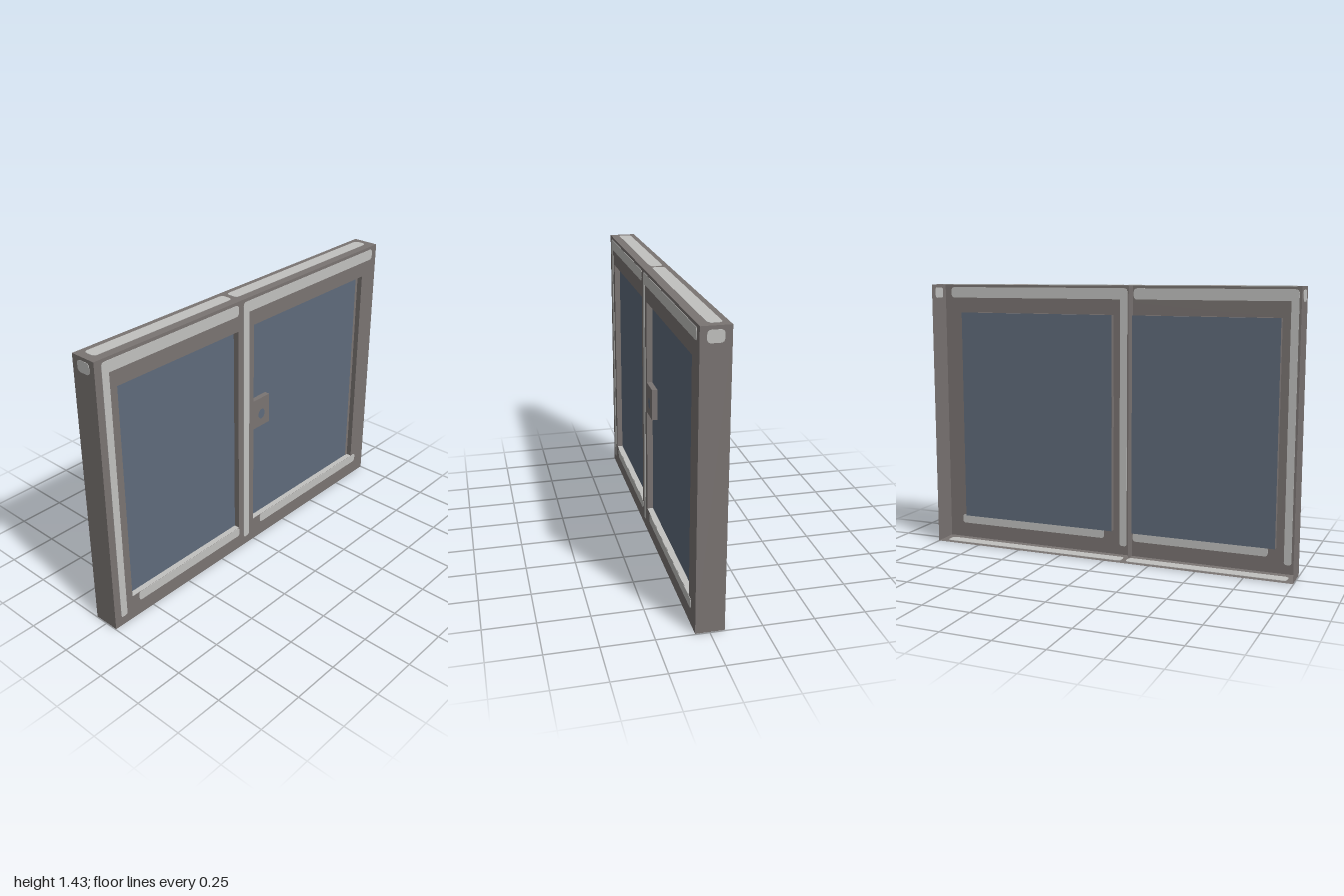
import * as THREE from 'three';

const mat = (name, color) => {
  const m = new THREE.MeshStandardMaterial({ color, side: THREE.DoubleSide });
  m.name = name;
  return m;
};

export function createModel() {
  const root = new THREE.Group();
  root.name = 'slidingWindow';
  const frame = mat('weatheredFrame', 0x7a7472);
  const worn = mat('palePaint', 0xc1c1bf);
  const glass = mat('blueGlass', 0x5f6b7b);

  const H = 1.43, X = 0.998, Z = 0.068, GLASS_Z = 0.038;
  const add = (name, geo, material, x, y, z, rx = 0, ry = 0, parent = root) => {
    const m = new THREE.Mesh(geo, material);
    m.name = name;
    m.position.set(x, y, z);
    m.rotation.set(rx, ry, 0);
    parent.add(m);
    return m;
  };
  const plane = (w, h) => new THREE.PlaneGeometry(w, h);
  const rectPath = (path, x0, y0, x1, y1) => {
    path.moveTo(x0, y0);
    path.lineTo(x1, y0);
    path.lineTo(x1, y1);
    path.lineTo(x0, y1);
    path.closePath();
    return path;
  };

  // Front face with two openings
  const openings = [
    { name: 'right', x0: -0.882, x1: -0.118 },
    { name: 'left', x0: -0.005, x1: 0.882 },
  ];
  const y0 = 0.133, y1 = 1.275;
  const face = rectPath(new THREE.Shape(), -X, 0.002, X, H - 0.002);
  for (const o of openings) face.holes.push(rectPath(new THREE.Path(), o.x0, y0, o.x1, y1));
  add('frontFace', new THREE.ShapeGeometry(face), frame, 0, 0, Z);

  // Outer casing, open at the back
  const depth = Z + 0.07, midZ = (Z - 0.07) / 2;
  for (const s of [-1, 1]) {
    add('sideWall', plane(depth, H - 0.004), frame, s * X, H / 2, midZ, 0, s * Math.PI / 2);
    add(s > 0 ? 'topWall' : 'bottomWall', plane(2 * X, depth), frame,
      0, s > 0 ? H - 0.002 : 0.002, midZ, -s * Math.PI / 2);
  }

  // Fin behind the meeting stile
  add('centreFin', plane(0.058, H - 0.004), frame, -0.11, H / 2, Z - 0.029, 0, Math.PI / 2);

  // Recessed panes with their reveals
  const rd = Z - GLASS_Z, rz = (Z + GLASS_Z) / 2;
  for (const o of openings) {
    const g = new THREE.Group();
    g.name = o.name + 'Pane';
    root.add(g);
    const w = o.x1 - o.x0, h = y1 - y0, cx = (o.x0 + o.x1) / 2, cy = (y0 + y1) / 2;
    add('glass', plane(w, h), glass, cx, cy, GLASS_Z, 0, 0, g);
    for (const x of [o.x0, o.x1]) add('sideReveal', plane(rd, h), frame, x, cy, rz, 0, Math.PI / 2, g);
    add('topReveal', plane(w, rd), frame, cx, y1, rz, Math.PI / 2, 0, g);
    add('bottomReveal', plane(w, rd), worn, cx, y0, rz, Math.PI / 2, 0, g);
  }
  add('glassBead', plane(0.018, y1 - y0), frame, 0.873, (y0 + y1) / 2, GLASS_Z + 0.002);

  // Latch plate and its button
  add('latch', new THREE.BoxGeometry(0.122, 0.162, rd - 0.002), frame, 0.055, 0.771, rz + 0.001);
  const button = add('latchButton', new THREE.CircleGeometry(0.024, 16), glass, 0.056, 0.76, Z + 0.0015);
  button.scale.y = 1.15;

  // Worn paint: thin rounded plates showing on both faces of each sheet
  const strip = (w, h) => {
    const r = Math.min(w, h) * 0.35, a = w / 2, b = h / 2;
    const s = new THREE.Shape();
    s.moveTo(-a + r, -b);
    s.lineTo(a - r, -b);
    s.quadraticCurveTo(a, -b, a, -b + r);
    s.lineTo(a, b - r);
    s.quadraticCurveTo(a, b, a - r, b);
    s.lineTo(-a + r, b);
    s.quadraticCurveTo(-a, b, -a, b - r);
    s.lineTo(-a, -b + r);
    s.quadraticCurveTo(-a, -b, -a + r, -b);
    return new THREE.ExtrudeGeometry(s, { depth: 0.004, bevelEnabled: false, curveSegments: 4 })
      .translate(0, 0, -0.002);
  };
  const frontStrips = [
    [-0.96, 0.05, -0.922, 1.405], [-0.96, 1.355, -0.115, 1.412], [-0.84, 0.082, -0.115, 0.132],
    [-0.08, 0.05, -0.04, 1.405], [-0.08, 1.355, 0.96, 1.412], [0.05, 0.082, 0.92, 0.132],
  ];
  for (const [a, b, c, d] of frontStrips)
    add('frontPaint', strip(c - a, d - b), worn, (a + c) / 2, (b + d) / 2, Z);
  for (const [a, c] of [[-0.96, -0.112], [-0.085, 0.96]])
    for (const y of [0.002, H - 0.002])
      add('edgePaint', strip(c - a, 0.066), worn, (a + c) / 2, y, -0.008, Math.PI / 2);
  for (const s of [-1, 1])
    add('endPaint', strip(0.076, 0.056), worn, s * X, 1.383, 0, 0, Math.PI / 2);

  return root;
}
